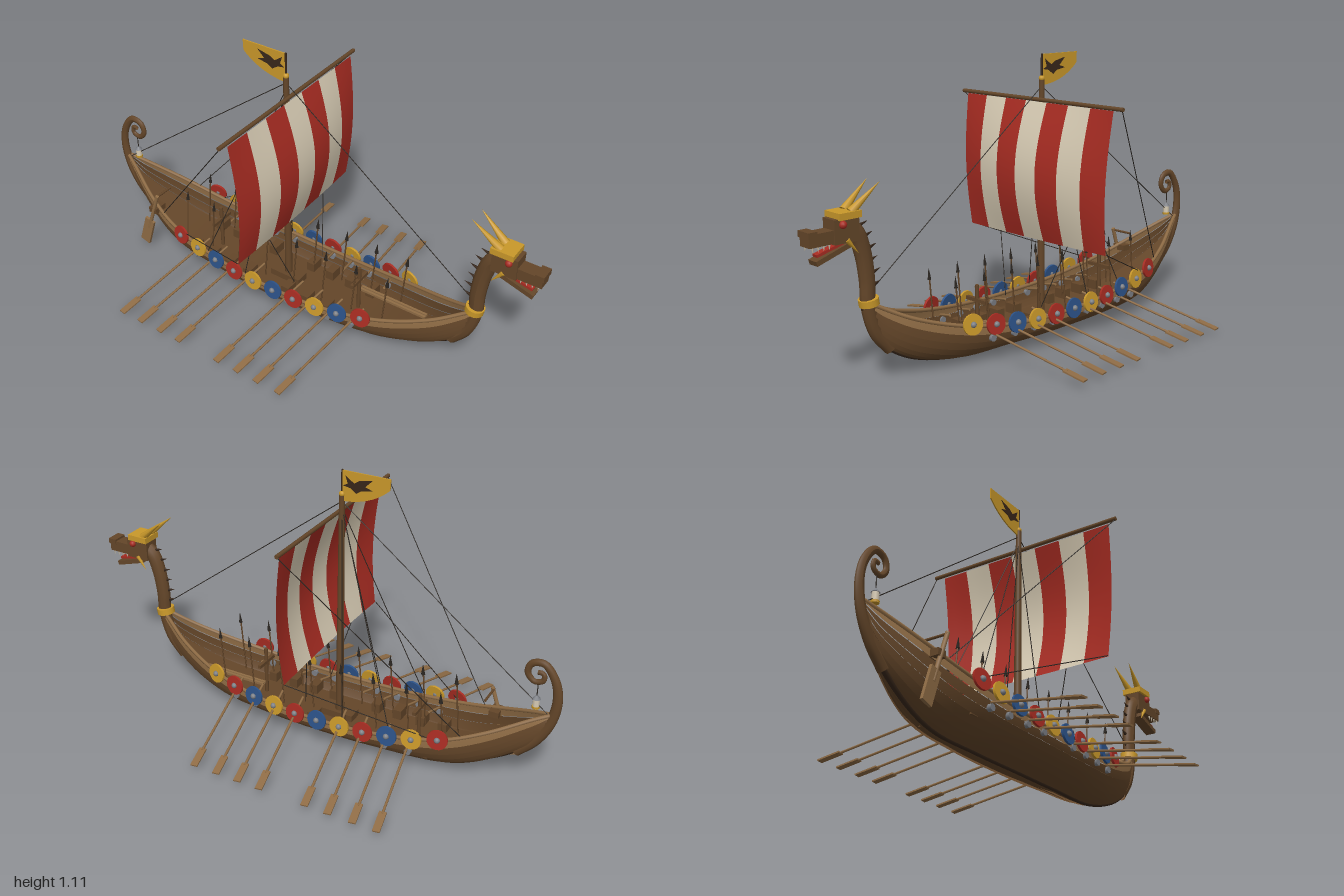
import * as THREE from 'three';

const mat = (name, color, side = THREE.FrontSide) => {
  const m = new THREE.MeshStandardMaterial({ color, side });
  m.name = name;
  return m;
};
const V = (x, y, z = 0) => new THREE.Vector3(x, y, z);

export function createModel() {
  const wood = mat('oak', 0x644629, THREE.DoubleSide);
  const pale = mat('paleWood', 0x8f6c45, THREE.DoubleSide);
  const dark = mat('tarredWood', 0x38271a);
  const red = mat('red', 0xa82c22, THREE.DoubleSide);
  const cream = mat('cream', 0xd9cdb5, THREE.DoubleSide);
  const gold = mat('gold', 0xc9982a);
  const blue = mat('blue', 0x2c5288);
  const iron = mat('iron', 0x7b7e84);
  const rope = mat('rope', 0x2c2722);

  const ship = new THREE.Group();
  ship.name = 'longship';
  const add = (name, geo, m, parent = ship) => {
    const mesh = new THREE.Mesh(geo, m);
    mesh.name = name;
    parent.add(mesh);
    return mesh;
  };
  const box = (name, m, w, h, d, x, y, z, rz = 0, parent = ship) => {
    const b = add(name, new THREE.BoxGeometry(w, h, d), m, parent);
    b.position.set(x, y, z);
    b.rotation.z = rz;
    return b;
  };
  // Straight round bar from a to b, tapering from r0 to r1
  const rod = (name, m, a, b, r0, r1 = r0, sides = 8) => {
    const r = add(name, new THREE.CylinderGeometry(r1, r0, a.distanceTo(b), sides), m);
    r.position.copy(a).lerp(b, 0.5);
    r.quaternion.setFromUnitVectors(V(0, 1), b.clone().sub(a).normalize());
    return r;
  };
  // Surface from a rule fn(u, v)
  const grid = (fn, nu, nv) => {
    const pos = [], idx = [];
    for (let i = 0; i <= nu; i++) for (let j = 0; j <= nv; j++) {
      pos.push(...fn(i / nu, j / nv).toArray());
      if (i < nu && j < nv) {
        const a = i * (nv + 1) + j, b = a + nv + 1;
        idx.push(a, b, a + 1, b, b + 1, a + 1);
      }
    }
    const g = new THREE.BufferGeometry();
    g.setAttribute('position', new THREE.Float32BufferAttribute(pos, 3));
    g.setIndex(idx);
    g.computeVertexNormals();
    return g;
  };
  // Tube whose radius runs from r0 to r1, flattened in z
  const taperTube = (name, m, pts, r0, r1, flat = 1, n = 60) => {
    const c = new THREE.CatmullRomCurve3(pts);
    const g = new THREE.TubeGeometry(c, n, 1, 10);
    const p = g.attributes.position, v = V(0, 0);
    for (let i = 0; i < p.count; i++) {
      const t = Math.floor(i / 11) / n, o = c.getPointAt(t);
      v.fromBufferAttribute(p, i).sub(o).multiplyScalar(r0 + (r1 - r0) * t);
      p.setXYZ(i, o.x + v.x, o.y + v.y, o.z + v.z * flat);
    }
    g.computeVertexNormals();
    return add(name, g, m);
  };

  // Hull stations: x, keel height, sheer height, half width
  const stations = [
    [-0.96, 0.3, 0.335, 0.004], [-0.9, 0.195, 0.31, 0.03], [-0.75, 0.08, 0.24, 0.095],
    [-0.6, 0.022, 0.185, 0.137], [-0.35, 0.012, 0.14, 0.163], [-0.1, 0.012, 0.125, 0.171],
    [0.15, 0.012, 0.13, 0.163], [0.4, 0.016, 0.165, 0.13], [0.6, 0.075, 0.225, 0.072],
    [0.71, 0.16, 0.28, 0.026], [0.77, 0.29, 0.315, 0.004]];
  const keel = new THREE.CatmullRomCurve3(stations.map(([x, k]) => V(x, k)));
  const sheer = new THREE.CatmullRomCurve3(stations.map(([x, , s, w]) => V(x, s, w)));
  const rail = sheer.getPoints(200);
  const sheerAt = x => rail.find(p => p.x >= x) || rail[200];
  const hullPoint = (t, u, side, out = 0) => {
    const k = keel.getPoint(t), s = sheer.getPoint(t), a = u * Math.PI / 2;
    const f = 1 - Math.cos(a);
    return V(k.x + (s.x - k.x) * f, k.y + (s.y - k.y) * f - out * Math.cos(a),
      side * (s.z * Math.sin(a) + out * Math.sin(a)));
  };

  // Overlapping planks, the top one paler, and the rail
  const planks = 7;
  for (const s of [1, -1]) {
    for (let j = 0; j < planks; j++) {
      const fn = (t, v) => hullPoint(t, (j + v) / planks, s, 0.006 * (1 - v));
      add('plank', grid(s > 0 ? fn : (t, v) => fn(1 - t, v), 60, 2), j === planks - 1 ? pale : wood);
    }
    const path = new THREE.CatmullRomCurve3(stations.map(([x, , h, w]) => V(x, h, s * w)));
    add('gunwale', new THREE.TubeGeometry(path, 70, 0.008, 6), pale);
  }
  add('deck', grid((t, v) => {
    const p = hullPoint(t, 0.55, 1);
    return V(p.x, p.y, p.z * (1 - 2 * v));
  }, 50, 1), wood);
  add('keel', new THREE.TubeGeometry(keel, 70, 0.011, 6), dark);

  // Curled stern post and its lantern
  taperTube('sternPost', wood, [V(-0.84, 0.14), V(-0.91, 0.21), V(-0.96, 0.3), V(-0.977, 0.4),
    V(-0.96, 0.48), V(-0.915, 0.535), V(-0.87, 0.525), V(-0.858, 0.485), V(-0.885, 0.455),
    V(-0.918, 0.467), V(-0.915, 0.495), V(-0.895, 0.495)], 0.026, 0.009, 0.75, 90);
  rod('lanternLine', rope, V(-0.9, 0.39), V(-0.9, 0.455), 0.002);
  rod('lanternGlass', cream, V(-0.9, 0.355), V(-0.9, 0.385), 0.013);
  rod('lanternCap', iron, V(-0.9, 0.385), V(-0.9, 0.4), 0.016, 0.003);
  rod('lanternBase', gold, V(-0.9, 0.347), V(-0.9, 0.356), 0.015);

  // Dragon neck, collar and spines
  const neckPts = [V(0.66, 0.115), V(0.72, 0.19), V(0.75, 0.29), V(0.753, 0.39), V(0.768, 0.49),
    V(0.795, 0.56), V(0.84, 0.59)];
  taperTube('neck', wood, neckPts, 0.026, 0.034, 0.8);
  rod('collar', gold, V(0.746, 0.295), V(0.75, 0.32), 0.037, 0.037, 16);
  [[0.735, 0.36], [0.735, 0.405], [0.745, 0.45], [0.75, 0.495], [0.765, 0.54], [0.785, 0.58]].forEach(([x, y]) =>
    rod('neckSpine', dark, V(x, y), V(x - 0.04, y + 0.014), 0.009, 0.0005, 5));

  // Dragon head
  box('skull', wood, 0.1, 0.085, 0.066, 0.85, 0.583, 0);
  box('brow', gold, 0.09, 0.024, 0.086, 0.84, 0.634, 0);
  box('snout', wood, 0.12, 0.045, 0.056, 0.935, 0.568, 0);
  box('nose', wood, 0.035, 0.022, 0.062, 0.9825, 0.588, 0);
  box('lowerJaw', wood, 0.14, 0.018, 0.046, 0.9, 0.508, 0, -0.3);
  box('tongue', red, 0.11, 0.01, 0.026, 0.905, 0.524, 0, -0.25);
  for (const s of [1, -1]) {
    add('eye', new THREE.SphereGeometry(0.014, 12, 8), red).position.set(0.868, 0.606, s * 0.036);
    rod('horn', gold, V(0.825, 0.64, s * 0.02), V(0.715, 0.73, s * 0.036), 0.017, 0.0005);
    rod('cheekSpike', gold, V(0.85, 0.55, s * 0.03), V(0.81, 0.5, s * 0.036), 0.01, 0.0005);
    for (let i = 0; i < 4; i++) {
      const x = 0.915 + i * 0.022;
      rod('tooth', cream, V(x, 0.548, s * 0.022), V(x, 0.527, s * 0.022), 0.005, 0.0005, 5);
    }
  }

  // Mast, yard, finial
  rod('mast', wood, V(-0.1, 0.02), V(-0.1, 1.01), 0.016, 0.011, 12);
  box('mastStep', wood, 0.14, 0.03, 0.06, -0.1, 0.065, 0);
  rod('flagPole', dark, V(-0.1, 1), V(-0.1, 1.11), 0.004);
  add('finial', new THREE.SphereGeometry(0.012, 12, 8), gold).position.set(-0.1, 1.015, 0);
  rod('yard', wood, V(-0.08, 0.935, -0.43), V(-0.08, 0.935, 0.43), 0.008);

  // Striped, bellied sail
  for (let i = 0; i < 7; i++) {
    const fn = (u, v) => {
      const k = (i + u) / 7 * 2 - 1;
      const belly = 0.065 * Math.sin(Math.PI * Math.min(1, v * 0.94)) * (1 - 0.6 * k * k);
      return V(-0.07 + belly, 0.928 - 0.543 * v, k * (0.392 - 0.022 * v));
    };
    add('sailStripe', grid(fn, 4, 16), i % 2 ? cream : red);
  }

  // Banner with a simple bird
  const plate = (name, shape, m, depth) => {
    const g = new THREE.ExtrudeGeometry(shape, { depth, bevelEnabled: false });
    return add(name, g.translate(0, 0, -depth / 2), m);
  };
  const flag = new THREE.Shape();
  flag.moveTo(-0.1, 1.108).lineTo(-0.295, 1.108).lineTo(-0.293, 1.065);
  flag.quadraticCurveTo(-0.22, 0.995, -0.1, 0.988);
  plate('banner', flag, gold, 0.005);
  const bird = new THREE.Shape([[-0.225, 1.05], [-0.195, 1.06], [-0.225, 1.09], [-0.17, 1.078], [-0.15, 1.065],
    [-0.115, 1.09], [-0.125, 1.06], [-0.105, 1.05], [-0.135, 1.045], [-0.16, 1.028], [-0.18, 1.042]]
    .map(([x, y]) => new THREE.Vector2(x, y)));
  plate('bannerBird', bird, dark, 0.008);

  // Rigging
  const line = (a, b) => rod('rigging', rope, a, b, 0.0018, 0.0018, 5);
  line(V(-0.1, 0.985), V(0.735, 0.345));
  line(V(-0.1, 0.985), V(-0.95, 0.33));
  for (const s of [1, -1]) {
    line(V(-0.08, 0.93, s * 0.425), V(-0.67, 0.21, s * 0.12));
    line(V(-0.1, 0.96), V(-0.4, 0.15, s * 0.16));
    line(V(-0.1, 0.96), V(-0.2, 0.13, s * 0.168));
    line(V(-0.068, 0.387, s * 0.37), V(-0.55, 0.18, s * 0.145));
    line(V(-0.055, 0.387, s * 0.185), V(0, 0.14, s * 0.1));
  }

  // Shields hung along the rails
  const paints = [red, gold, blue];
  for (const s of [1, -1]) {
    const count = s > 0 ? 10 : 11;
    for (let i = 0; i < count; i++) {
      const x = (s > 0 ? -0.54 : -0.59) + i * 0.0985, p = sheerAt(x);
      const slope = (sheerAt(x + 0.05).z - sheerAt(x - 0.05).z) / 0.1;
      const shield = new THREE.Group();
      shield.name = 'shield';
      shield.position.set(x, p.y + 0.008, s * (p.z + 0.013));
      shield.rotation.set(s * (Math.PI / 2 - 0.12), 0, s * Math.atan(slope) * -s, 'YXZ');
      shield.rotation.y = -s * Math.atan(slope);
      shield.rotation.z = 0;
      ship.add(shield);
      add('shieldFace', new THREE.CylinderGeometry(0.04, 0.04, 0.009, 20), paints[i % 3], shield);
      add('shieldBoss', new THREE.SphereGeometry(0.012, 10, 8), iron, shield).position.y = 0.004;
    }
  }

  // Oars with ports, and a sea chest for each rower
  for (const s of [1, -1]) for (const x of [-0.54, -0.445, -0.345, -0.25, -0.055, 0.04, 0.135, 0.235]) {
    const tip = V(x, 0.028, s * 0.548), port = V(x + 0.065, 0.115, s * 0.17);
    const inner = port.clone().lerp(tip, -0.25), len = inner.distanceTo(tip);
    const oar = new THREE.Group();
    oar.name = 'oar';
    oar.position.copy(inner);
    oar.lookAt(tip);
    ship.add(oar);
    const shaft = add('oarShaft', new THREE.CylinderGeometry(0.005, 0.005, len - 0.08, 6), pale, oar);
    shaft.rotation.x = Math.PI / 2;
    shaft.position.z = (len - 0.08) / 2;
    box('oarBlade', pale, 0.028, 0.006, 0.09, 0, 0, len - 0.045, 0, oar);
    const z = sheerAt(x + 0.065).z;
    rod('oarPort', iron, V(x + 0.065, 0.1, s * (z - 0.012)), V(x + 0.065, 0.1, s * (z + 0.006)), 0.014);
    box('seaChest', wood, 0.036, 0.04, 0.055, x + 0.02, 0.085, s * 0.092);
  }

  // Upright spears inside the rails
  for (const s of [1, -1]) for (let i = 0; i < 8; i++) {
    const x = -0.585 + i * 0.14;
    rod('spearShaft', wood, V(x, 0.08, s * 0.075), V(x + 0.02, 0.31, s * 0.075), 0.003, 0.003, 6);
    rod('spearHead', rope, V(x + 0.02, 0.3, s * 0.075), V(x + 0.023, 0.345, s * 0.075), 0.009, 0.0005, 4);
  }

  // Trestles and spare oars amidships
  for (const x of [-0.45, 0.245]) {
    rod('trestle', wood, V(x, 0.05), V(x, 0.26), 0.008);
    box('trestleBar', wood, 0.014, 0.014, 0.11, x, 0.2, 0);
  }
  for (const z of [-0.035, -0.05]) box('spareOar', pale, 0.3, 0.01, 0.01, 0.38, 0.12, z);

  // Steering oar on the left quarter
  rod('steeringShaft', pale, V(-0.69, 0.295, 0.13), V(-0.755, 0.1, 0.13), 0.008);
  box('steeringBlade', pale, 0.048, 0.135, 0.012, -0.764, 0.083, 0.13, -0.3);
  rod('tiller', wood, V(-0.695, 0.287, 0.135), V(-0.695, 0.287, 0.04), 0.005);
  box('steeringMount', wood, 0.04, 0.025, 0.06, -0.72, 0.21, 0.105);

  return ship;
}
